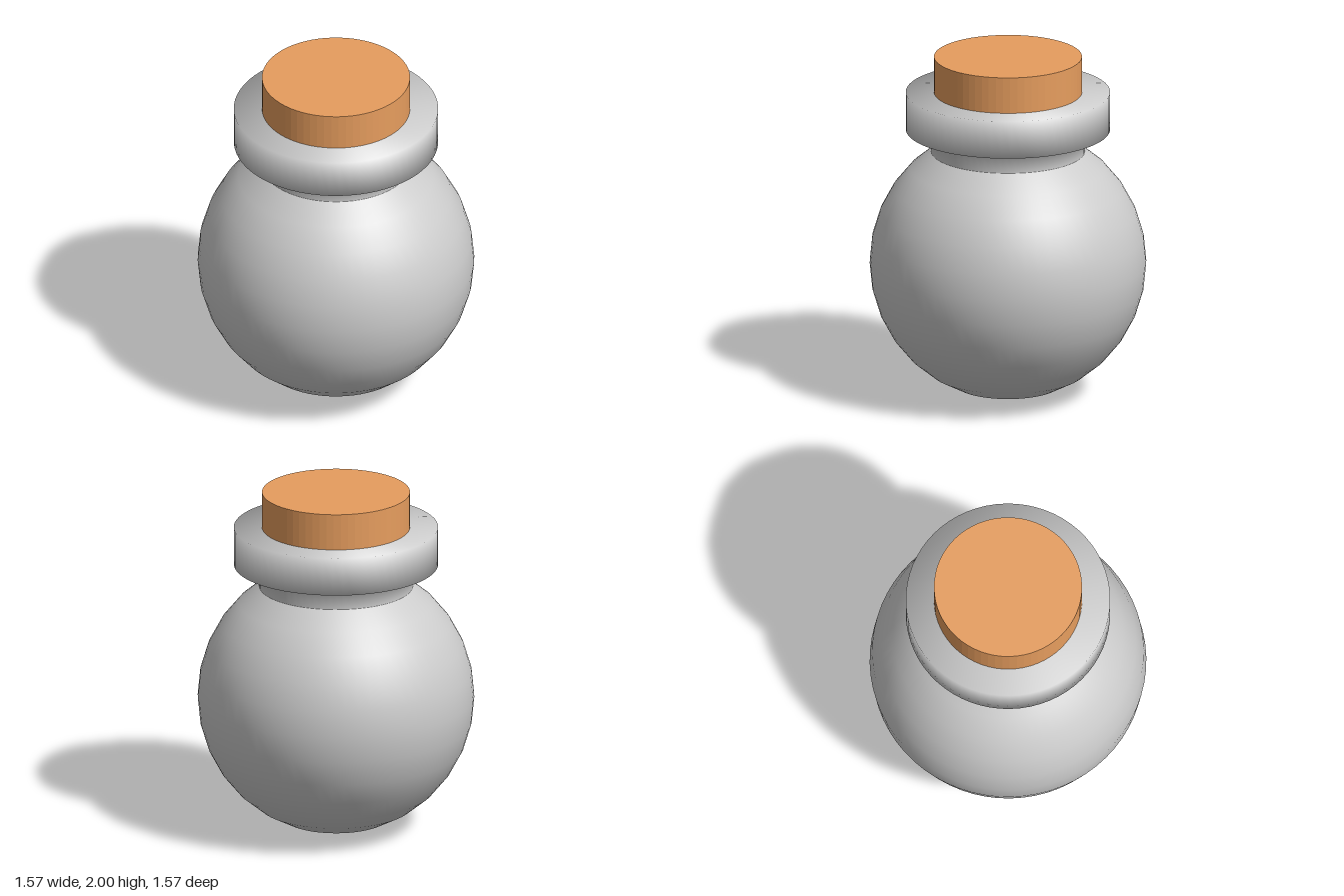
import * as THREE from 'three';

const SEGMENTS = 64;

export function createModel() {
  const model = new THREE.Group();
  model.name = 'corkedFlask';

  // Round flask: sphere arc, straight neck and wide rim turned as one smooth profile
  const radius = 0.785;
  const step = Math.PI / 16;
  const neckRadius = 0.436;
  const profile = [];
  for (let i = 0; i <= 13; i++) {
    // the arc runs from the bottom pole up to the neck
    const a = i * step;
    profile.push(new THREE.Vector2(radius * Math.sin(a), radius - radius * Math.cos(a)));
  }
  profile.push(
    new THREE.Vector2(neckRadius, 1.44),
    new THREE.Vector2(neckRadius, 1.57),
    new THREE.Vector2(0.58, 1.57),
    new THREE.Vector2(0.58, 1.79),
    new THREE.Vector2(0, 1.79)
  );
  // replace the last arc point, which lies beyond the neck, by its meeting with the neck
  const geometry = new THREE.LatheGeometry(profile, SEGMENTS);

  // Soft shading over the upper rim edge: normals lean 45 degrees outward
  const normal = geometry.attributes.normal;
  for (let i = 0; i <= SEGMENTS; i++) {
    const a = (i / SEGMENTS) * Math.PI * 2;
    const s = Math.SQRT1_2;
    normal.setXYZ(i * profile.length + profile.length - 2, s * Math.sin(a), s, s * Math.cos(a));
  }
  const flask = new THREE.Mesh(geometry, new THREE.MeshStandardMaterial({ color: 0xcccccc }));
  flask.name = 'flask';
  model.add(flask);

  // Cork, seated slightly into the rim
  const corkBottom = 1.75;
  const corkHeight = 2 - corkBottom;
  const cork = new THREE.Mesh(
    new THREE.CylinderGeometry(0.42, 0.42, corkHeight, SEGMENTS),
    new THREE.MeshStandardMaterial({ color: 0xe69d5e, flatShading: true })
  );
  cork.name = 'cork';
  cork.position.y = corkBottom + corkHeight / 2;
  model.add(cork);

  return model;
}
